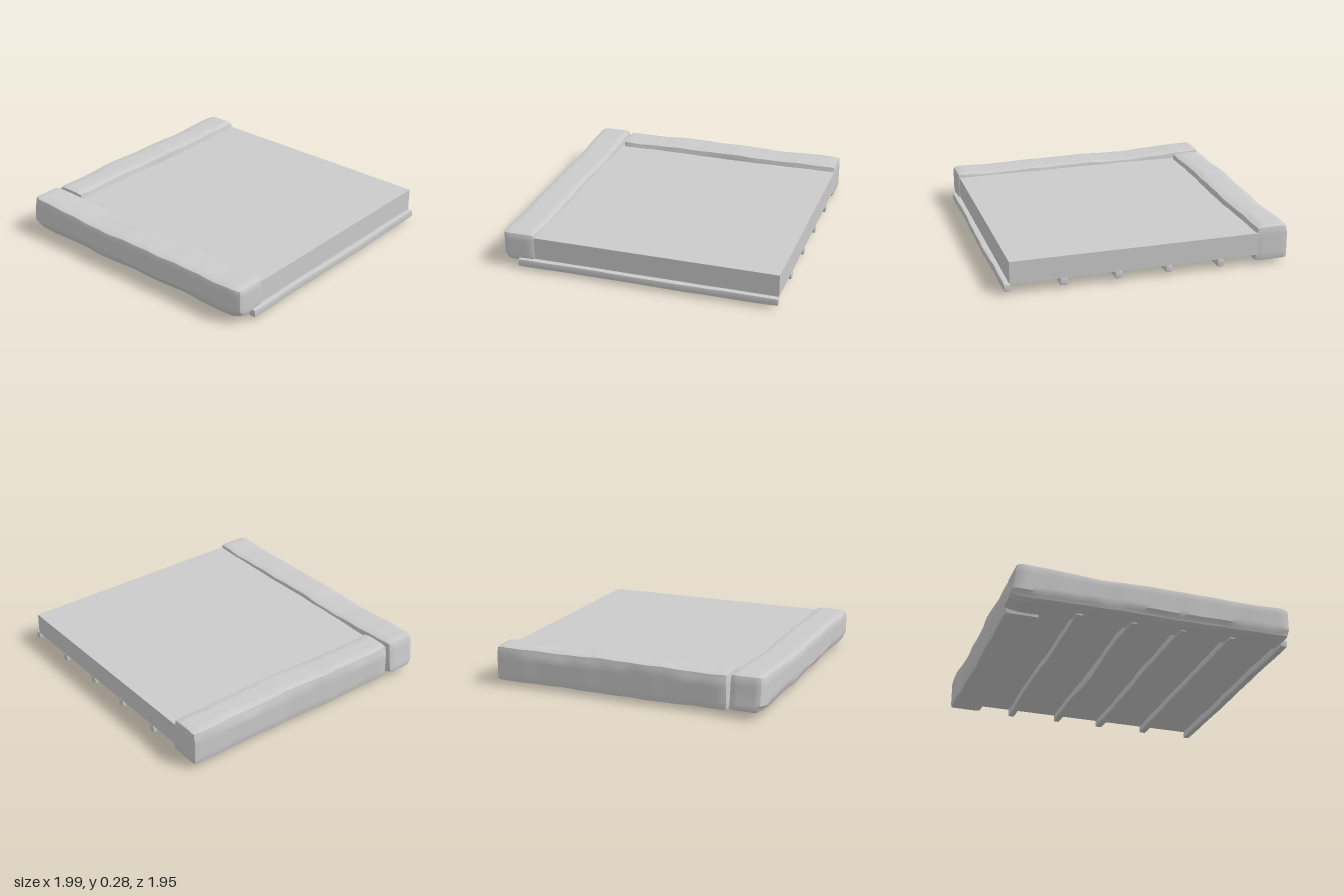
import * as THREE from 'three';
import { mergeVertices, toCreasedNormals } from 'three/addons/utils/BufferGeometryUtils.js';

const material = new THREE.MeshStandardMaterial({ color: 0xcccccc });

function addMesh(group, name, geometry) {
  const mesh = new THREE.Mesh(geometry, material);
  mesh.name = name;
  group.add(mesh);
}

// Box between two corners with worn, rounded edges; warp(p, n) then bends each point,
// n being its position in the box from -1 to 1 on each axis.
function wornBox(min, max, segments, radius, warp) {
  const size = new THREE.Vector3().subVectors(max, min);
  const center = new THREE.Vector3().addVectors(min, max).multiplyScalar(0.5);
  const half = size.clone().multiplyScalar(0.5);
  let geo = new THREE.BoxGeometry(size.x, size.y, size.z, ...segments);
  geo.deleteAttribute('uv');
  geo.deleteAttribute('normal');
  const pos = geo.attributes.position;
  const p = new THREE.Vector3(), n = new THREE.Vector3(), inner = new THREE.Vector3();
  const limit = half.clone().subScalar(radius);
  for (let i = 0; i < pos.count; i++) {
    p.fromBufferAttribute(pos, i);
    n.copy(p).divide(half);
    inner.copy(p).clamp(limit.clone().negate(), limit);
    p.sub(inner).normalize().multiplyScalar(radius).add(inner).add(center);
    warp(p, n);
    pos.setXYZ(i, p.x, p.y, p.z);
  }
  geo = mergeVertices(geo, 1e-4);
  return toCreasedNormals(geo, 0.6);
}

// Irregular hewn waviness along a length
const wave = (t, k) =>
  0.5 * Math.sin(5.3 * t + k) + 0.3 * Math.sin(12.7 * t + 2.1 * k) + 0.2 * Math.sin(27 * t + 3.7 * k);

export function createModel() {
  const model = new THREE.Group();
  const v = (x, y, z) => new THREE.Vector3(x, y, z);

  // Flat floor slab
  const slab = new THREE.BoxGeometry(1.8, 0.155, 1.77);
  slab.translate(0.05, 0.158, -0.085);
  addMesh(model, 'floorSlab', slab);

  // Front beam: raised and slanted at its right end, worn along the lower front edge
  addMesh(model, 'frontBeam', wornBox(v(-0.985, 0.038, 0.73), v(0.962, 0.262, 0.968), [56, 8, 8], 0.026, (p, n) => {
    const rise = THREE.MathUtils.smoothstep(-p.x, 0.35, 0.85);
    if (n.y > 0) p.y += n.y * (0.02 * rise + 0.006 * wave(p.x, 1));
    else p.y += 0.004 * wave(p.x, 4);
    if (n.x < 0) p.x += 0.017 * n.y * Math.max(0, -n.x * 8 - 7);
    p.z += n.z * 0.006 * wave(p.x, n.z > 0 ? 2 : 5);
    if (n.z > 0.6 && n.y < -0.6) {
      const wear = 0.014 + 0.008 * wave(p.x, 7);
      p.z -= wear;
      p.y += wear * 0.4;
    }
    // bevelled beam ends
    const end = Math.max(0, Math.abs(n.x) * 14 - 13);
    p.z -= 0.012 * end * Math.max(0, n.z);
    if (n.y < 0) p.y -= 0.012 * end * n.y;
  }));

  // Side beam along the right edge
  addMesh(model, 'sideBeam', wornBox(v(-0.975, 0.03, -0.972), v(-0.742, 0.28, 0.715), [8, 8, 50], 0.02, (p, n) => {
    p.x += n.x * 0.007 * wave(p.z, n.x > 0 ? 3 : 6);
    p.y += n.y * 0.005 * wave(p.z, n.y > 0 ? 2 : 8);
    if (Math.abs(n.x) > 0.7 && n.y > 0.7) {
      const wear = 0.007 + 0.006 * wave(p.z, 5 + n.x);
      p.x -= Math.sign(n.x) * wear;
      p.y -= wear * 0.5;
    }
  }));

  // Thin joists beneath the slab; the second one sags in the middle
  [-0.5, -0.13, 0.22, 0.585, 0.965].forEach((x, i) => {
    const geo = wornBox(v(x - 0.024, 0.028, -0.972), v(x + 0.024, 0.081, 0.845), [4, 4, 32], 0.008, (p, n) => {
      p.x += 0.006 * wave(p.z, i * 2.3) + n.x * 0.003 * wave(p.z, i + 4);
      if (n.y < 0) {
        const sag = i === 1 ? 0.022 * Math.max(0, 1 - Math.abs(p.z + 0.05) / 0.4) : 0;
        p.y += n.y * (sag + 0.004 * wave(p.z, i + 1));
      }
    });
    addMesh(model, 'joist' + (i + 1), geo);
  });

  return model;
}
